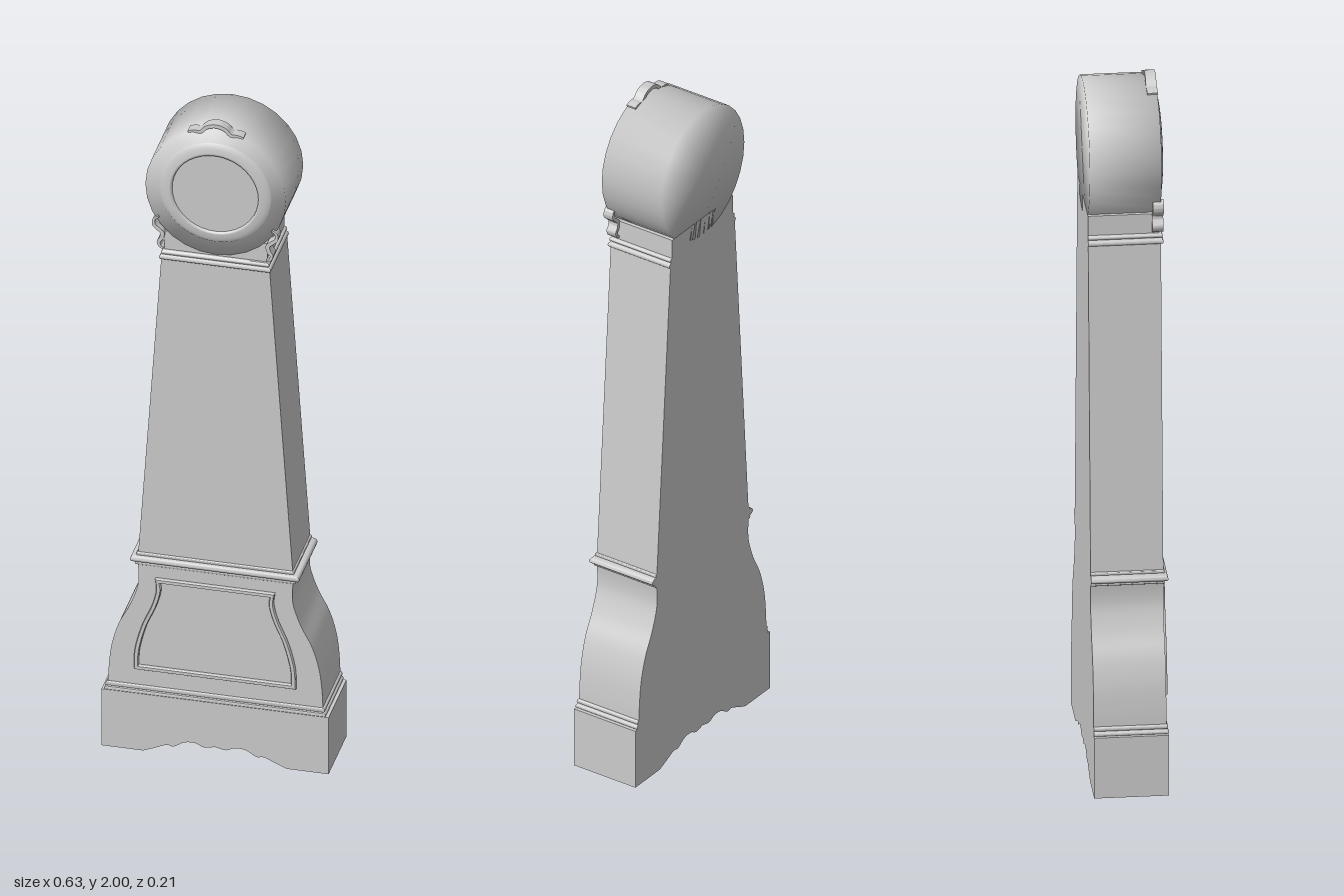
import * as THREE from 'three';
import { mergeVertices, toCreasedNormals } from 'three/addons/utils/BufferGeometryUtils.js';

const BACK = -0.105, FRONT = 0.092;
const material = new THREE.MeshStandardMaterial({ color: 0xcccccc, side: THREE.DoubleSide });
const V2 = (x, y) => new THREE.Vector2(x, y);

function add(parent, name, geometry) {
  const mesh = new THREE.Mesh(geometry, material);
  mesh.name = name;
  parent.add(mesh);
  return mesh;
}

// Stack of rectangular sections [y, halfWidth, frontZ], all flush at the back
function loft(sections) {
  const pos = [];
  const rings = sections.map(([y, w, z]) => [[-w, y, z], [w, y, z], [w, y, BACK], [-w, y, BACK]]);
  const quad = (a, b, c, d) => pos.push(...a, ...b, ...c, ...a, ...c, ...d);
  for (let i = 0; i < rings.length - 1; i++) {
    const lo = rings[i], hi = rings[i + 1];
    for (let k = 0; k < 4; k++) quad(lo[k], lo[(k + 1) % 4], hi[(k + 1) % 4], hi[k]);
  }
  const top = rings[rings.length - 1], bottom = rings[0];
  quad(...top);
  quad(bottom[3], bottom[2], bottom[1], bottom[0]);
  const g = new THREE.BufferGeometry();
  g.setAttribute('position', new THREE.Float32BufferAttribute(pos, 3));
  return toCreasedNormals(g, 0.7);
}

// Half-round bead running around the front and sides
function bead(y0, y1, w, out, outFront) {
  const sections = [];
  for (let i = 0; i <= 8; i++) {
    const a = (i / 8) * Math.PI, s = Math.sin(a);
    sections.push([(y0 + y1) / 2 - Math.cos(a) * (y1 - y0) / 2, w + out * s, FRONT + outFront * s]);
  }
  return loft(sections);
}

// Curved ribbon with tapering ends, extruded along z
function ribbon(points, thickness, z0, depth) {
  const curve = new THREE.SplineCurve(points.map(p => V2(...p)));
  const left = [], right = [], n = 32;
  for (let i = 0; i <= n; i++) {
    const t = i / n, p = curve.getPoint(t), d = curve.getTangent(t);
    const h = thickness / 2 * (0.45 + 0.55 * Math.sin(Math.PI * t));
    left.push(V2(p.x - d.y * h, p.y + d.x * h));
    right.unshift(V2(p.x + d.y * h, p.y - d.x * h));
  }
  const g = new THREE.ExtrudeGeometry(new THREE.Shape([...left, ...right]), { depth, bevelEnabled: false });
  g.translate(0, 0, z0);
  return toCreasedNormals(g, 0.7);
}

// Closed symmetric outline from the curve of its right-hand side, inset by d
function panelOutline(d) {
  const side = new THREE.SplineCurve([
    V2(0.225 - d, 0.255 + d), V2(0.222 - d, 0.32), V2(0.203 - d, 0.395),
    V2(0.176 - d, 0.46), V2(0.163 - d, 0.51), V2(0.166 - d, 0.548 - d),
  ]).getPoints(24);
  return [...side, ...side.slice().reverse().map(p => V2(-p.x, p.y))];
}

function createModel() {
  const clock = new THREE.Group();
  clock.name = 'longcaseClock';

  // Plinth: hollow, open below, with a scalloped lower edge front and back
  const plinth = new THREE.Group();
  plinth.name = 'plinth';
  clock.add(plinth);
  const W = 0.315, H = 0.178, zf = 0.097;
  const half = new THREE.SplineCurve([
    V2(0.2, 0), V2(0.17, 0.012), V2(0.135, 0.027), V2(0.115, 0.025),
    V2(0.085, 0.042), V2(0.055, 0.044), V2(0.03, 0.034), V2(0, 0.04),
  ]).getPoints(35);
  const scallop = [...half, ...half.slice(0, -1).reverse().map(p => V2(-p.x, p.y))];
  const apron = new THREE.Shape([V2(-W, 0), V2(-W, H), V2(W, H), V2(W, 0), ...scallop]);
  add(plinth, 'plinthFront', new THREE.ShapeGeometry(apron)).position.z = zf;
  const back = add(plinth, 'plinthBack', new THREE.ShapeGeometry(apron));
  back.rotation.y = Math.PI;
  back.position.z = BACK;
  const depth = zf - BACK, mid = (zf + BACK) / 2;
  for (const s of [-1, 1]) {
    const side = add(plinth, 'plinthSide', new THREE.PlaneGeometry(depth, H));
    side.rotation.y = s * Math.PI / 2;
    side.position.set(s * W, H / 2, mid);
  }
  const lid = add(plinth, 'plinthTop', new THREE.PlaneGeometry(2 * W, depth));
  lid.rotation.x = -Math.PI / 2;
  lid.position.set(0, H, mid);

  // Swelling lower case
  const swell = new THREE.SplineCurve([
    V2(0.298, 0.2), V2(0.296, 0.25), V2(0.288, 0.32), V2(0.268, 0.39),
    V2(0.238, 0.45), V2(0.217, 0.51), V2(0.213, 0.55), V2(0.216, 0.59),
  ]).getPoints(28);
  add(clock, 'lowerCase', loft(swell.map(p => [p.y, p.x, FRONT])));

  // Raised frame on the lower case
  const frame = new THREE.Shape(panelOutline(0));
  frame.holes.push(new THREE.Path(panelOutline(0.013)));
  const frameGeo = new THREE.ExtrudeGeometry(frame, {
    depth: 0.008, bevelEnabled: true, bevelThickness: 0.003, bevelSize: 0.002, bevelOffset: -0.002, bevelSegments: 1,
  });
  add(clock, 'panelFrame', frameGeo).position.z = FRONT - 0.001;

  // Tapering trunk and neck
  add(clock, 'trunk', loft([[0.61, 0.215, FRONT], [1.565, 0.15, FRONT]]));
  add(clock, 'neck', loft([[1.575, 0.143, FRONT - 0.004], [1.643, 0.143, FRONT - 0.004]]));

  // Mouldings
  add(clock, 'baseMoulding', bead(0.176, 0.19, 0.3, 0.007, 0.006));
  add(clock, 'baseMoulding', bead(0.19, 0.204, 0.297, 0.007, 0.004));
  add(clock, 'waistMoulding', bead(0.583, 0.594, 0.216, 0.007, 0.004));
  add(clock, 'waistMoulding', bead(0.592, 0.614, 0.218, 0.017, 0.012));
  add(clock, 'waistMoulding', bead(0.612, 0.623, 0.214, 0.005, 0.004));
  add(clock, 'neckMoulding', bead(1.556, 1.572, 0.147, 0.008, 0.007));
  add(clock, 'neckMoulding', bead(1.572, 1.586, 0.143, 0.007, 0.005));

  // Round head with soft shading over its rim
  const head = new THREE.Group();
  head.name = 'head';
  head.position.y = 1.785;
  clock.add(head);
  let drum = new THREE.CylinderGeometry(0.195, 0.195, 0.09 - BACK, 28);
  drum.deleteAttribute('normal');
  drum.deleteAttribute('uv');
  drum = mergeVertices(drum, 1e-4);
  drum.computeVertexNormals();
  drum.rotateX(Math.PI / 2);
  add(head, 'drum', drum).position.z = (0.09 + BACK) / 2;

  // Dial door: ring and glass
  const ring = new THREE.LatheGeometry(
    [V2(0.156, 0.089), V2(0.152, 0.094), V2(0.14, 0.098), V2(0.127, 0.1), V2(0.121, 0.1), V2(0.119, 0.092)], 40);
  ring.rotateX(Math.PI / 2);
  add(head, 'dialRing', ring);
  add(head, 'dialGlass', new THREE.CircleGeometry(0.121, 40)).position.z = 0.094;

  // Crest on top of the head
  add(clock, 'crest', ribbon([
    [-0.077, 1.967], [-0.06, 1.971], [-0.042, 1.971], [-0.025, 1.987], [0, 1.994],
    [0.025, 1.987], [0.042, 1.971], [0.06, 1.971], [0.077, 1.967],
  ], 0.011, 0.062, 0.029));

  // Scrolls where the head meets the neck
  for (const s of [-1, 1]) {
    const pts = [
      [0.157, 1.69], [0.169, 1.682], [0.17, 1.664], [0.157, 1.652], [0.146, 1.64],
      [0.15, 1.622], [0.157, 1.612], [0.152, 1.598], [0.143, 1.594],
    ];
    add(clock, 'scroll', ribbon(pts.map(([x, y]) => [s * x, y]), 0.011, 0.068, 0.03));
  }
  return clock;
}

export { createModel };
